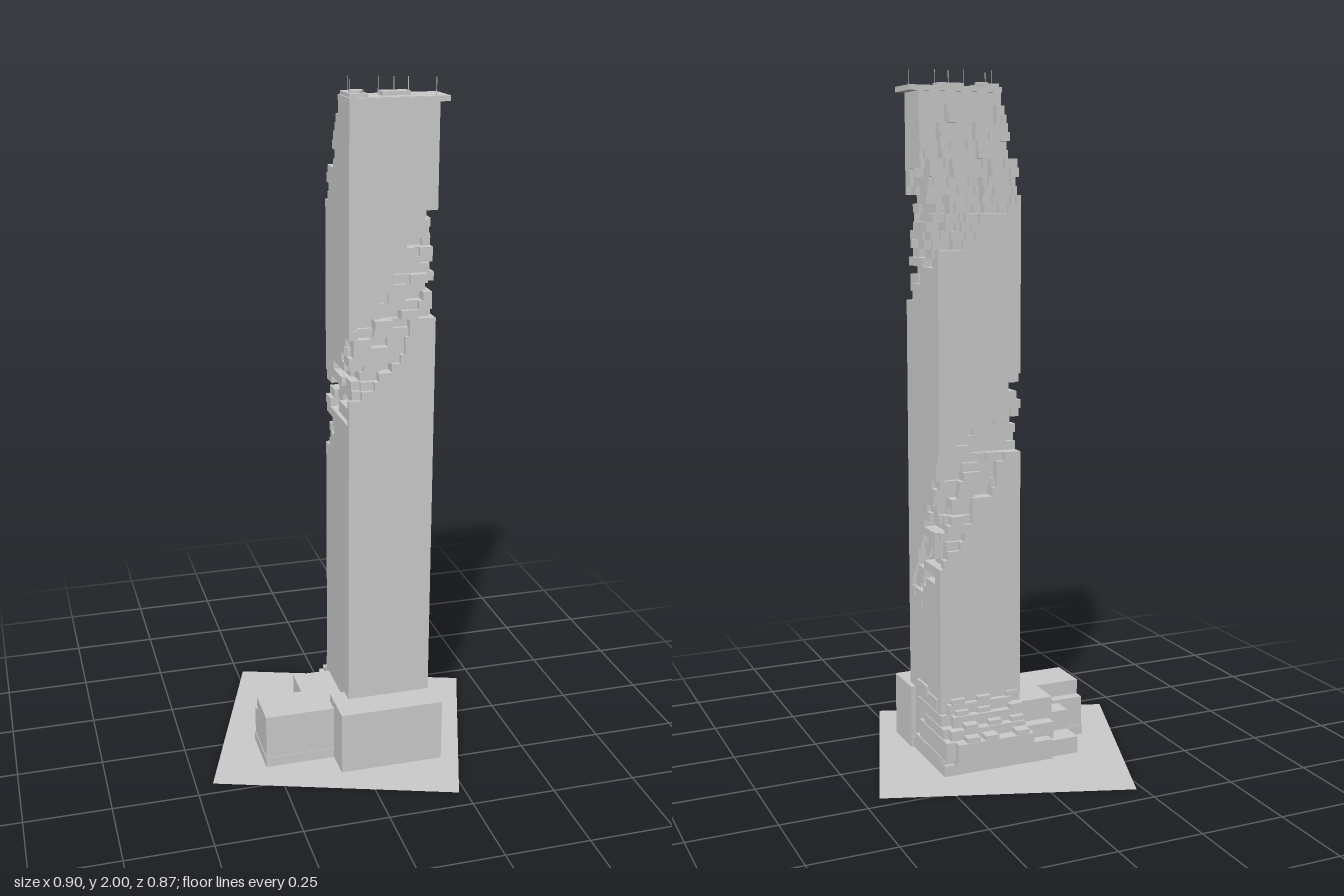
import * as THREE from 'three';

const mat = new THREE.MeshStandardMaterial({ color: 0xcccccc, flatShading: true });

// Tower grid: cells in plan, floors in height
const N = 20, FLOORS = 78, CELL = 0.0125, FLOOR = 0.025;
const X0 = -0.025, Z0 = -0.095;

// Repeatable noise, 0..1
function hash(a, b, c) {
  const s = Math.sin(a * 127.1 + b * 311.7 + c * 74.7 + 5.3) * 43758.5453;
  return s - Math.floor(s);
}

// Rising eroded ribbon: [turn in faces, lowest y, highest y]
const ribbon = [
  [0.12, 0.52, 0.52], [0.3, 0.48, 0.6], [0.6, 0.52, 0.78], [1, 0.6, 0.92], [1.5, 0.75, 1.0],
  [2, 0.93, 1.12], [3, 1.1, 1.28], [3.5, 1.24, 1.47], [4, 1.36, 1.65], [4.5, 1.4, 1.75], [5, 1.46, 1.9],
];
function ribbonAt(s) {
  for (let n = 1; n < ribbon.length; n++) {
    const [a, l0, h0] = ribbon[n - 1], [b, l1, h1] = ribbon[n];
    if (s >= a && s <= b) {
      const t = (s - a) / (b - a);
      return [l0 + (l1 - l0) * t, h0 + (h1 - h0) * t];
    }
  }
  return null;
}

// How many cells deep a face is eaten at a given place
function bite(face, along, k) {
  const row = k >> 1;
  const block = Math.floor((along + 3 * (row % 3)) / 4);
  const band = ribbonAt(face + (along + 0.5) / N);
  if (!band) return 0;
  const y = (k + 0.5) * FLOOR, jitter = (hash(face, block, row) - 0.5) * 0.07;
  if (y < band[0] + jitter || y > band[1] + jitter) return 0;
  return Math.floor(hash(block, k, face + 9) * 3.6);
}

// Back of the upper tower steps forward towards the roof slab
function backStep(i, k) {
  const row = k >> 1, block = Math.floor((i + 2 * (row % 3)) / 4);
  const y = (k + 0.5) * FLOOR, start = 1.46 + 0.18 * (1 - i / (N - 1));
  const t = (y - start) / (1.93 - start);
  if (t <= 0) return 0;
  if (y > 1.9) return 11;
  const n = 11 * t + (hash(block, row, 3) - 0.4) * 5;
  return Math.max(0, Math.min(11, Math.round(n)));
}

function buildSolid() {
  const cells = new Uint8Array(N * N * FLOORS);
  for (let k = 0; k < FLOORS; k++) for (let j = 0; j < N; j++) for (let i = 0; i < N; i++) {
    const fromFront = N - 1 - j, fromRight = N - 1 - i;
    const eaten = j < backStep(i, k)
      || fromRight < bite(0, fromFront, k) || fromRight < bite(4, fromFront, k)
      || j < bite(1, fromRight, k) || i < bite(2, j, k) || fromFront < bite(3, i, k);
    cells[(k * N + j) * N + i] = eaten ? 0 : 1;
  }
  return (i, j, k) => i >= 0 && j >= 0 && k >= 0 && i < N && j < N && k < FLOORS
    && cells[(k * N + j) * N + i] === 1;
}

// Skin of the gridded tower: only exposed faces, merged into long strips
function towerGeometry() {
  const solid = buildSolid(), pos = [], idx = [];
  const quad = (o, u, v) => {
    const b = pos.length / 3;
    for (const [p, q] of [[0, 0], [1, 0], [1, 1], [0, 1]]) {
      pos.push(X0 + (o[0] + u[0] * p + v[0] * q) * CELL,
        (o[1] + u[1] * p + v[1] * q) * FLOOR, Z0 + (o[2] + u[2] * p + v[2] * q) * CELL);
    }
    idx.push(b, b + 1, b + 2, b, b + 2, b + 3);
  };
  const strips = (count, exposed, emit) => {
    let start = -1;
    for (let n = 0; n <= count; n++) {
      const on = n < count && exposed(n);
      if (on && start < 0) start = n;
      if (!on && start >= 0) { emit(start, n - start); start = -1; }
    }
  };
  // Walls
  for (let i = 0; i < N; i++) for (let j = 0; j < N; j++) {
    const wall = (di, dj, emit) =>
      strips(FLOORS, (k) => solid(i, j, k) && !solid(i + di, j + dj, k), emit);
    wall(1, 0, (k, n) => quad([i + 1, k, j], [0, n, 0], [0, 0, 1]));
    wall(-1, 0, (k, n) => quad([i, k, j], [0, 0, 1], [0, n, 0]));
    wall(0, 1, (k, n) => quad([i, k, j + 1], [1, 0, 0], [0, n, 0]));
    wall(0, -1, (k, n) => quad([i, k, j], [0, n, 0], [1, 0, 0]));
  }
  // Terraces and soffits
  for (let k = 0; k < FLOORS; k++) for (let j = 0; j < N; j++) {
    const flat = (dk, emit) => strips(N, (i) => solid(i, j, k) && !solid(i, j, k + dk), emit);
    flat(1, (i, n) => quad([i, k + 1, j], [0, 0, 1], [n, 0, 0]));
    flat(-1, (i, n) => quad([i, k, j], [n, 0, 0], [0, 0, 1]));
  }
  const g = new THREE.BufferGeometry();
  g.setAttribute('position', new THREE.Float32BufferAttribute(pos, 3));
  g.setIndex(idx);
  g.computeVertexNormals();
  return g;
}

export function createModel() {
  const model = new THREE.Group();
  const add = (name, geometry, x, y, z, material = mat) => {
    const m = new THREE.Mesh(geometry, material);
    m.name = name;
    m.position.set(x, y, z);
    model.add(m);
    return m;
  };
  // Box given by its extents
  const box = (name, x0, x1, y0, y1, z0, z1) =>
    add(name, new THREE.BoxGeometry(x1 - x0, y1 - y0, z1 - z0), (x0 + x1) / 2, (y0 + y1) / 2, (z0 + z1) / 2);

  // Ground sheet, turned against the tower
  const sheet = new THREE.PlaneGeometry(0.72, 0.674).rotateX(-Math.PI / 2);
  const groundMat = mat.clone();
  groundMat.side = THREE.DoubleSide;
  add('groundPlate', sheet, 0, 0, 0, groundMat).rotation.y = -Math.atan2(0.235, 0.68);

  add('tower', towerGeometry(), 0, 0, 0);

  // Roof
  box('roofSlab', -0.025, 0.255, 1.937, 1.952, 0.036, 0.152);
  box('roofPlantRoom', -0.02, 0.03, 1.952, 1.962, 0.045, 0.145);
  box('roofHatch', 0.077, 0.156, 1.952, 1.963, 0.07, 0.114);
  add('roofTank', new THREE.CylinderGeometry(0.02, 0.02, 0.018, 24), 0.005, 1.96, 0.111);
  for (const [x, z] of [[-0.022, 0.148], [0, 0.05], [0.077, 0.075], [0.113, 0.1], [0.15, 0.11], [0.22, 0.136]]) {
    add('antenna', new THREE.CylinderGeometry(0.0012, 0.0012, 0.05, 6), x, 1.975, z);
  }

  // Front hall and side wing
  box('frontHall', -0.07, 0.24, 0, 0.19, 0.11, 0.245);
  box('wing', -0.278, -0.02, 0.03, 0.165, 0.03, 0.155);
  box('wingPlinth', -0.28, -0.02, 0, 0.03, -0.003, 0.157);
  box('wingTerrace', -0.278, -0.18, 0.03, 0.12, 0, 0.04);
  box('wingBack', -0.14, -0.02, 0.03, 0.165, -0.075, 0.04);
  box('wingBackTerrace', -0.2, -0.13, 0.03, 0.11, -0.06, 0.04);
  box('backTerrace', -0.2, -0.1, 0, 0.05, -0.13, 0);
  box('backTerrace', -0.13, -0.03, 0.0, 0.1, -0.11, 0);
  box('backTerrace', -0.11, -0.03, 0.0, 0.06, -0.142, 0);

  // Stepped blocks around the tower foot: back reach and right reach per level
  box('footPlinth', -0.04, 0.232, 0, 0.032, -0.14, 0.11);
  const levels = [[0.032, 0.055, 0.155], [0.055, 0.11, 0.19], [0.11, 0.138, 0.155], [0.138, 0.17, 0.13], [0.17, 0.2, 0.11]];
  levels.forEach(([y0, y1, reach], n) => {
    box('footStep', -0.04 + 0.012 * n, 0.2 + 0.008 * (n % 3), y0, y1, -reach, -0.08);
    box('footSide', 0.2, 0.238 - 0.003 * n, y0, y1, -reach + 0.025, 0.08 - 0.03 * (n % 3));
    for (let b = 0; b < 3; b++) {
      const x = -0.02 + 0.075 * b + 0.03 * hash(n, b, 1), z = -reach - 0.004 + 0.012 * hash(n, b, 2);
      box('footBlock', x, x + 0.04, y0 + 0.008, y1 + 0.014, Math.max(z, -0.192), -0.08);
    }
  });
  box('footSide', 0.2, 0.232, 0.19, 0.225, 0.0, 0.08);
  box('footSide', 0.2, 0.23, 0.18, 0.21, -0.07, 0.0);
  return model;
}
